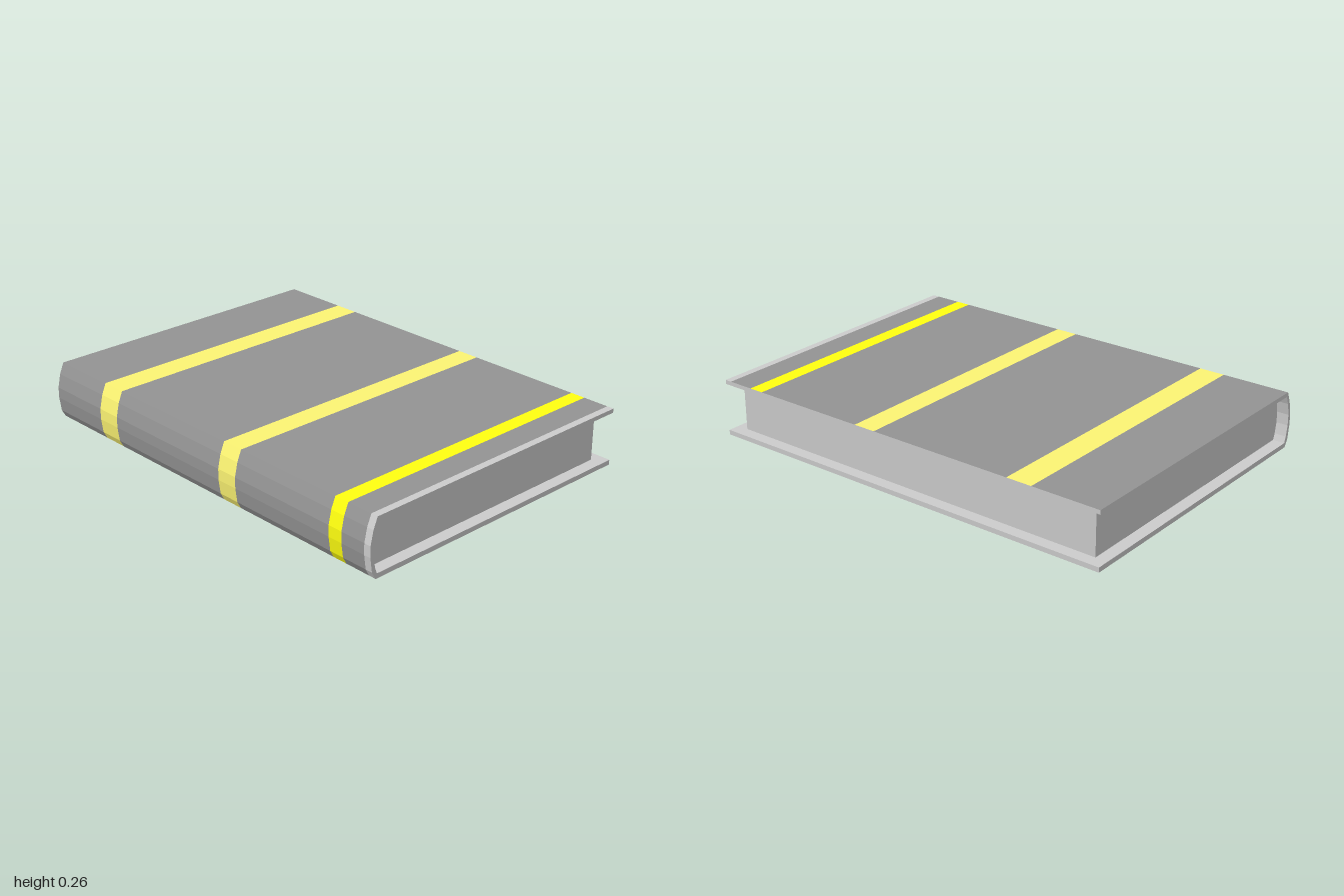
import * as THREE from 'three';

const GREY = 0xcccccc, DARK = 0x939393, PALE = 0xfcf473, YELLOW = 0xffff10;

// Cover cross-section (x, y): front board and spine, back board, then the inside
const topAndSpine = [[0.715, 0.262], [-0.682, 0.262], [-0.703, 0.212], [-0.717, 0.15],
  [-0.717, 0.1], [-0.708, 0.035], [-0.69, 0.002]];
const bottom = [[-0.69, 0.002], [-0.685, 0], [0.715, 0]];
const innerSpine = [[-0.682, 0.022], [-0.692, 0.05], [-0.701, 0.1], [-0.701, 0.15],
  [-0.69, 0.205], [-0.674, 0.243]];
const inside = [[0.715, 0], [0.715, 0.022], ...innerSpine, [0.715, 0.243], [0.715, 0.262]];

function makeMesh(name, geometry, color) {
  const mesh = new THREE.Mesh(geometry, new THREE.MeshStandardMaterial({ color }));
  mesh.name = name;
  return mesh;
}

// Faceted surface following a path, spanning z0 (back) to z1 (front)
function ribbon(path, z0, z1) {
  const pos = [];
  for (let i = 0; i < path.length - 1; i++) {
    const [a, b] = [path[i], path[i + 1]];
    pos.push(...a, z1, ...a, z0, ...b, z0, ...a, z1, ...b, z0, ...b, z1);
  }
  const g = new THREE.BufferGeometry();
  g.setAttribute('position', new THREE.Float32BufferAttribute(pos, 3));
  g.computeVertexNormals();
  return g;
}

const toShape = (pts) => new THREE.Shape(pts.map(([x, y]) => new THREE.Vector2(x, y)));

export function createModel() {
  const book = new THREE.Group();
  book.name = 'book';

  // Front board and spine, coloured in bands along z
  const bands = [
    ['coverPanel', -1, -0.68, DARK], ['paleBand', -0.68, -0.56, PALE],
    ['coverPanel', -0.56, 0.125, DARK], ['paleBand', 0.125, 0.23, PALE],
    ['coverPanel', 0.23, 0.775, DARK], ['yellowBand', 0.775, 0.845, YELLOW],
    ['coverPanel', 0.845, 0.967, DARK], ['coverEdge', 0.967, 1, GREY],
  ];
  for (const [name, z0, z1, color] of bands) {
    book.add(makeMesh(name, ribbon(topAndSpine, z0, z1), color));
  }

  // Back board in two tones
  book.add(makeMesh('backBoardDark', ribbon(bottom, -1, 0.125), DARK));
  book.add(makeMesh('backBoardLight', ribbon(bottom, 0.125, 1), GREY));

  // Inside of the cover and the board edges
  book.add(makeMesh('coverInside', ribbon(inside, -1, 1), GREY));

  // Cover ends at the head and the tail
  const profile = [...topAndSpine, ...bottom.slice(1), ...inside.slice(1, -1)];
  for (const side of [1, -1]) {
    const end = makeMesh('coverEnd', new THREE.ShapeGeometry(toShape(profile)), GREY);
    end.position.z = side;
    if (side < 0) end.material.side = THREE.BackSide;
    book.add(end);
  }

  // Page block, rounded against the spine
  const pages = [[0.66, 0.022], [0.66, 0.243], ...[...innerSpine].reverse()];
  const block = new THREE.ExtrudeGeometry(toShape(pages), { depth: 1.89, bevelEnabled: false });
  block.translate(0, 0, -0.945);
  book.add(makeMesh('pages', block, GREY));

  return book;
}
